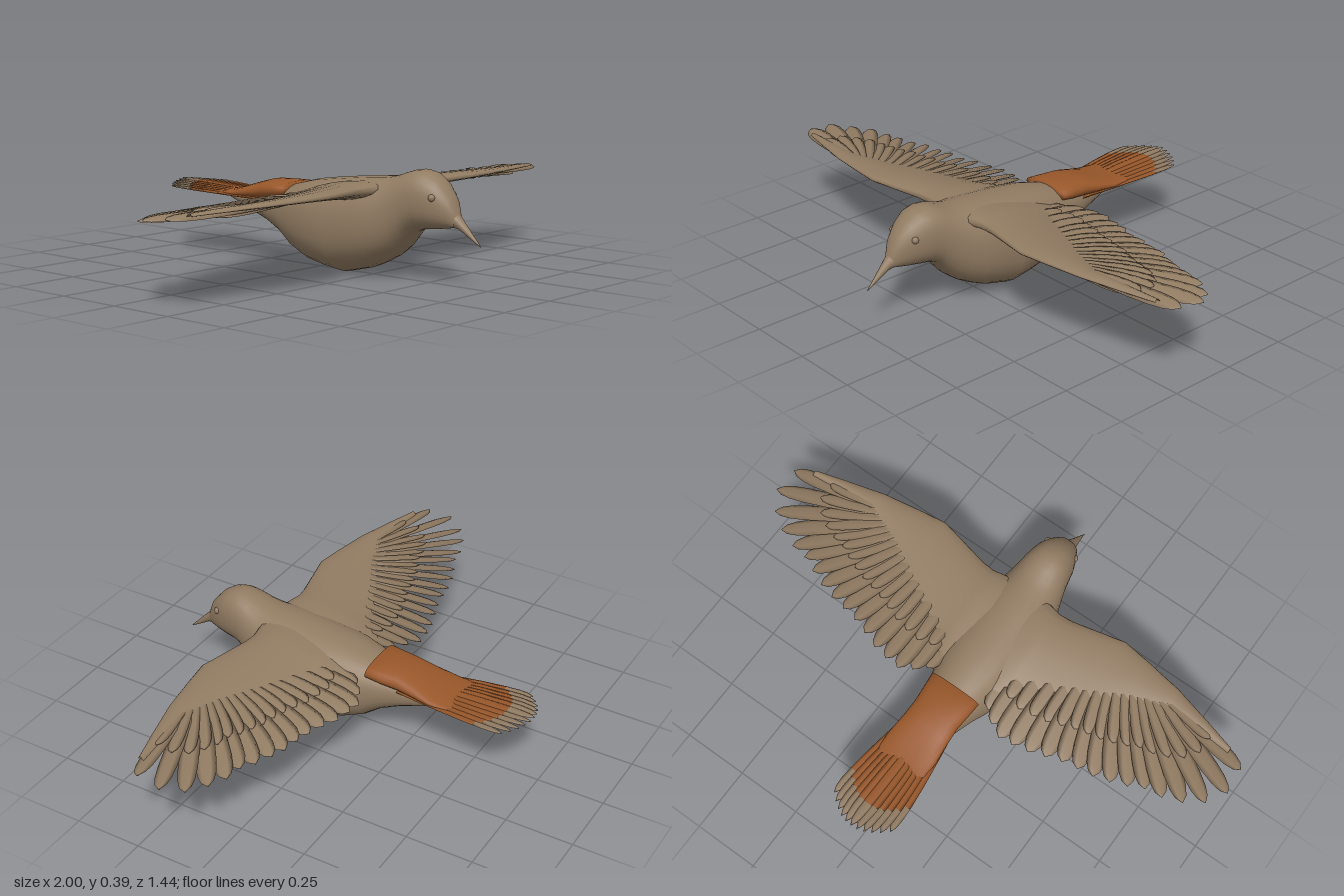
import * as THREE from 'three';

const V = (x, y, z) => new THREE.Vector3(x, y, z);

// Skins a row of closed rings (all with the same number of points) with smooth normals.
function loft(rings) {
  const n = rings[0].length, pos = [], idx = [];
  rings.forEach((r) => r.forEach((p) => pos.push(p.x, p.y, p.z)));
  for (let i = 0; i < rings.length - 1; i++) {
    for (let j = 0; j < n; j++) {
      const a = i * n + j, b = i * n + (j + 1) % n;
      idx.push(a, a + n, b, b, a + n, b + n);
    }
  }
  const g = new THREE.BufferGeometry();
  g.setAttribute('position', new THREE.Float32BufferAttribute(pos, 3));
  g.setIndex(idx);
  g.computeVertexNormals();
  return g;
}

// Slightly squared oval around centre c, spanned by u and v.
function ring(c, u, v, n, power = 1) {
  const soft = (k) => Math.sign(k) * Math.abs(k) ** power;
  return Array.from({ length: n }, (_, j) => {
    const a = (j / n) * Math.PI * 2;
    return c.clone().addScaledVector(u, soft(Math.cos(a))).addScaledVector(v, soft(Math.sin(a)));
  });
}

// Rows of [z, top, bottom, half width], running from front to back.
function loftAlongZ(rows, n, power) {
  return loft(rows.map(([z, t, b, w]) =>
    ring(V(0, (t + b) / 2, z), V(w, 0, 0), V(0, (t - b) / 2, 0), n, power)));
}

// Flat feather from root to tip, covering the part t0..t1 of its length.
const OUTLINE = [[0, 0.5], [0.25, 0.8], [0.55, 1], [0.75, 1], [0.87, 0.88], [0.95, 0.6], [1, 0.04]];
function feather(root, tip, halfWidth, roll, t0 = 0, t1 = 1) {
  const d = tip.clone().sub(root).normalize();
  const side = d.clone().cross(V(0, 1, 0)).normalize();
  const up = V(0, 1, 0).addScaledVector(side, roll).normalize();
  const u = d.clone().cross(up).normalize();
  const widthAt = (t) => {
    const k = Math.max(1, OUTLINE.findIndex((o) => o[0] >= t));
    const [a, wa] = OUTLINE[k - 1], [b, wb] = OUTLINE[k];
    return wa + (wb - wa) * (t - a) / (b - a);
  };
  const ts = [t0, ...OUTLINE.map((o) => o[0]).filter((t) => t > t0 && t < t1), t1];
  return loft(ts.map((t) => {
    const c = root.clone().lerp(tip, t), w = widthAt(t);
    return ring(c, u.clone().multiplyScalar(halfWidth * w), up.clone().multiplyScalar(0.002 + 0.004 * w), 6);
  }));
}

// Height of the gently sloping wing plane.
const wingY = (z) => 0.312 + 0.15 * (z - 0.3);

export function createModel() {
  const tan = new THREE.MeshStandardMaterial({ color: 0x917b62, side: THREE.DoubleSide });
  tan.name = 'tanPlumage';
  const rust = new THREE.MeshStandardMaterial({ color: 0x98572a, side: THREE.DoubleSide });
  rust.name = 'rustTail';

  const bird = new THREE.Group();
  bird.name = 'bird';
  const add = (parent, name, geometry, material) => {
    const m = new THREE.Mesh(geometry, material);
    m.name = name;
    parent.add(m);
    return m;
  };

  // Head and body in one smooth skin
  add(bird, 'body', loftAlongZ([
    [0.632, 0.236, 0.224, 0.006], [0.62, 0.265, 0.203, 0.024], [0.6, 0.312, 0.2, 0.042],
    [0.56, 0.36, 0.194, 0.064], [0.52, 0.386, 0.189, 0.08], [0.48, 0.394, 0.184, 0.089],
    [0.45, 0.39, 0.172, 0.095], [0.42, 0.381, 0.138, 0.103], [0.39, 0.37, 0.103, 0.112],
    [0.35, 0.36, 0.072, 0.126], [0.3, 0.357, 0.045, 0.143], [0.25, 0.353, 0.024, 0.154],
    [0.15, 0.342, 0, 0.161], [0.07, 0.332, 0.012, 0.157], [0, 0.322, 0.026, 0.146],
    [-0.08, 0.303, 0.06, 0.122], [-0.14, 0.286, 0.105, 0.102], [-0.22, 0.268, 0.143, 0.08],
    [-0.34, 0.248, 0.182, 0.05], [-0.43, 0.236, 0.209, 0.024], [-0.475, 0.228, 0.222, 0.003],
  ], 28, 0.88), tan);

  // Slim downcurved beak
  add(bird, 'beak', loftAlongZ([
    [0.72, 0.149, 0.146, 0.001], [0.695, 0.176, 0.16, 0.006], [0.665, 0.208, 0.178, 0.012],
    [0.635, 0.24, 0.197, 0.019], [0.6, 0.275, 0.203, 0.03],
  ], 12, 1), tan);

  // Small closed eyes
  for (const s of [-1, 1]) {
    const eye = add(bird, s > 0 ? 'leftEye' : 'rightEye', new THREE.SphereGeometry(0.013, 12, 8), tan);
    eye.position.set(s * 0.06, 0.305, 0.555);
  }

  // Rust coloured rump running into the tail
  add(bird, 'rump', loftAlongZ([
    [-0.098, 0.29, 0.27, 0.06], [-0.102, 0.305, 0.25, 0.103], [-0.16, 0.306, 0.235, 0.098],
    [-0.22, 0.304, 0.228, 0.093], [-0.28, 0.288, 0.225, 0.096], [-0.36, 0.264, 0.226, 0.103],
    [-0.44, 0.252, 0.23, 0.1], [-0.52, 0.247, 0.238, 0.07],
  ], 24, 0.85), rust);

  // Tail fan, rust with tan tips
  const tail = new THREE.Group();
  tail.name = 'tail';
  bird.add(tail);
  for (let i = -5; i <= 5; i++) {
    const k = Math.abs(i) / 5;
    const root = V(i * 0.0145, 0.243 - k * 0.012, -0.22);
    const tip = V(i * 0.0245, 0.264 - k * 0.014, -0.72 + 0.065 * k * k);
    const split = (0.4 - 0.07 * k * k) / (-0.22 - tip.z);
    const roll = -Math.sign(i) * 0.18;
    add(tail, 'tailFeather', feather(root, tip, 0.021, roll, 0, split), rust);
    add(tail, 'tailFeatherTip', feather(root, tip, 0.021, roll, split, 1), tan);
  }

  // Wings: a smooth arm, long flight feathers and two short covert rows
  const tips = [[0.99, 0.235], [1, 0.14], [0.955, 0.07], [0.89, 0.025], [0.82, 0], [0.755, -0.01],
    [0.7, -0.035], [0.64, -0.06], [0.58, -0.075], [0.52, -0.085], [0.46, -0.095], [0.4, -0.115],
    [0.34, -0.135], [0.28, -0.147], [0.225, -0.15], [0.175, -0.125], [0.135, -0.09]];
  const roots = new THREE.CatmullRomCurve3([
    V(0.6, 0, 0.31), V(0.53, 0, 0.285), V(0.44, 0, 0.24), V(0.32, 0, 0.19), V(0.12, 0, 0.15)]);

  // Arm rows of [x, leading z, trailing z, half thickness]
  const arm = [[0.03, 0.36, -0.06, 0.04], [0.11, 0.345, -0.045, 0.045], [0.15, 0.338, -0.01, 0.04],
    [0.2, 0.342, 0.03, 0.034], [0.3, 0.364, 0.075, 0.027], [0.4, 0.386, 0.115, 0.022],
    [0.5, 0.373, 0.18, 0.018], [0.65, 0.35, 0.25, 0.013], [0.8, 0.312, 0.26, 0.009], [0.92, 0.28, 0.258, 0.004]];
  const armGeometry = loft(arm.map(([x, lead, trail, h]) => {
    const mid = (lead + trail) / 2, half = (lead - trail) / 2;
    return Array.from({ length: 20 }, (_, j) => {
      const a = (j / 20) * Math.PI * 2, c = Math.cos(a);
      const z = mid + half * c;
      return V(x, wingY(z) + Math.sin(a) * h * (0.7 + 0.3 * c) + 0.008 * (1 - c * c), z);
    });
  }));

  for (const s of [1, -1]) {
    const wing = new THREE.Group();
    wing.name = s > 0 ? 'leftWing' : 'rightWing';
    wing.scale.x = s;
    bird.add(wing);
    add(wing, 'wingArm', armGeometry, tan);
    tips.forEach(([x, z], i) => {
      const r = roots.getPoint(i / (tips.length - 1));
      const root = V(r.x, wingY(r.z), r.z);
      const tip = V(x, wingY(z) + (i % 2) * 0.004, z);
      const w = i < 3 ? 0.035 : 0.037;
      add(wing, 'flightFeather', feather(root, tip, w, 0.25), tan);
      for (const [name, reach, lift] of [['upperCovert', 0.62, 0.01], ['underCovert', 0.5, -0.012]]) {
        const end = root.clone().lerp(tip, reach);
        end.y += lift;
        const start = root.clone();
        start.y += lift * 0.6;
        add(wing, name, feather(start, end, w * 0.75, 0.22), tan);
      }
    });
  }
  return bird;
}
